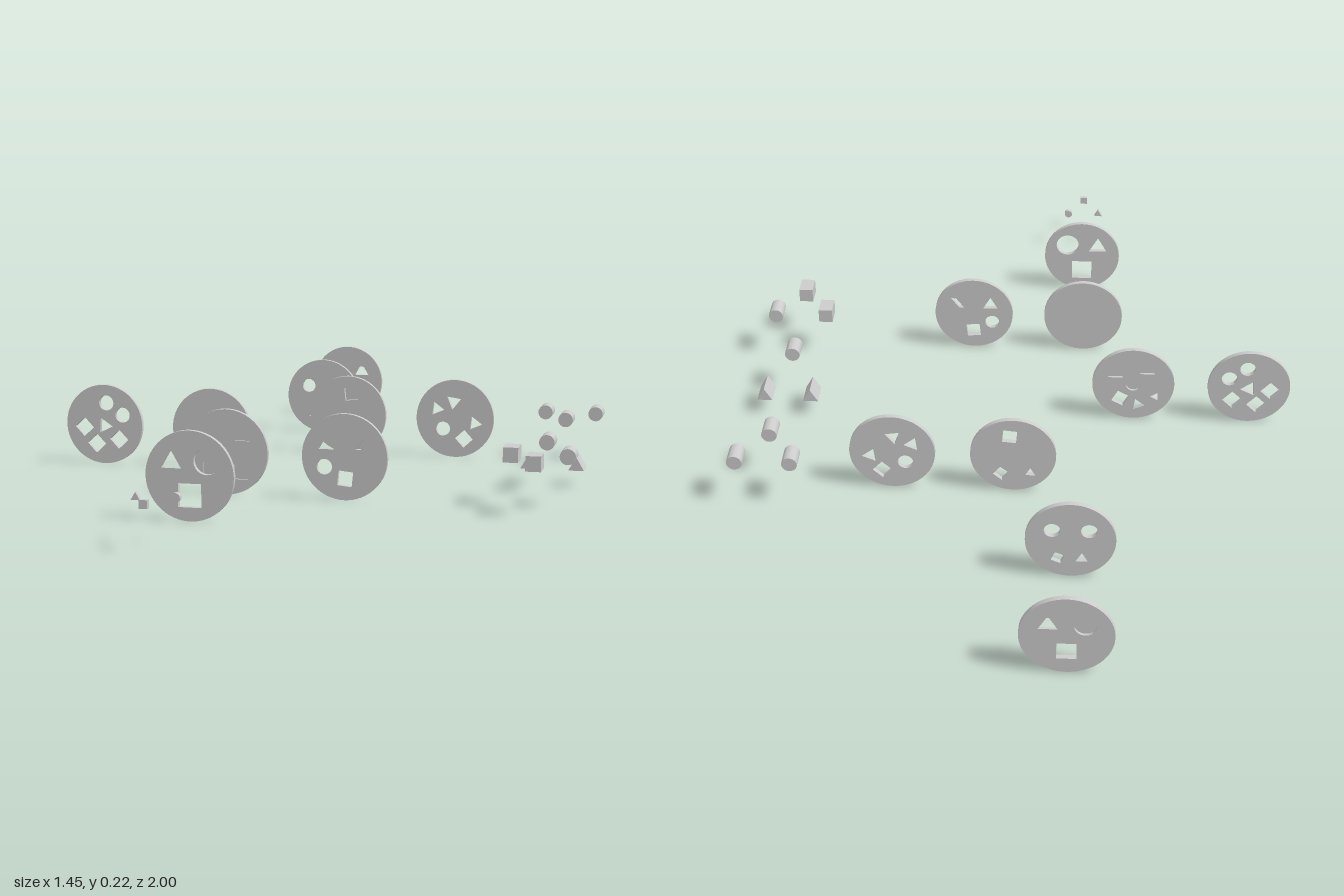
import * as THREE from 'three';
import { toCreasedNormals } from 'three/addons/utils/BufferGeometryUtils.js';

const R = 0.11, THICK = 0.013;
const material = new THREE.MeshStandardMaterial({ color: 0xcccccc });

// Every outline is a regular polygon around (x, y)
const regular = (sides, x, y, r, turn) => new THREE.Path(Array.from({ length: sides }, (_, i) => {
  const a = turn + (i / sides) * Math.PI * 2;
  return new THREE.Vector2(x + r * Math.cos(a), y + r * Math.sin(a));
}));
const circle = (x = 0, y = 0, size = 0.04) => regular(24, x, y, size / 2, 0);
const square = (x = 0, y = 0, size = 0.038, turn = 0) => regular(4, x, y, size * Math.SQRT1_2, turn + Math.PI / 4);
const triangle = (x = 0, y = 0, size = 0.041, turn = 0) => regular(3, x, y, size * 0.577, turn + Math.PI / 2);

// Narrow four-sided slot, slanted
const slot = (x, y) => new THREE.Path([[-1, -1], [0.5, -1], [1, 1], [-0.5, 1]].map(
  ([u, v]) => new THREE.Vector2(x + 0.009 * u + 0.009 * v, y + 0.015 * v)));

// Places copies of one shape at angles (degrees) around a disc centre
const ring = (shape, radius, angles, size, turn) => angles.map((deg) => {
  const a = THREE.MathUtils.degToRad(deg);
  return shape(radius * Math.cos(a), radius * Math.sin(a), size, turn);
});

function extrude(outline, depth, holes = []) {
  const shape = new THREE.Shape(outline.getPoints());
  shape.holes.push(...holes);
  return toCreasedNormals(new THREE.ExtrudeGeometry(shape, { depth, bevelEnabled: false }), 0.5);
}

function addMesh(parent, name, geometry, x, y, z) {
  const mesh = new THREE.Mesh(geometry, material);
  mesh.name = name;
  mesh.position.set(x, y, z);
  parent.add(mesh);
}

// Standing disc of two layers: holes cut both, recesses cut only one
function addDisc(parent, name, x, z, { through = [], front = [], back = [] }) {
  const disc = new THREE.Group();
  disc.name = name;
  disc.position.set(x, R, z);
  const rim = regular(64, 0, 0, R, 0);
  addMesh(disc, 'frontLayer', extrude(rim, THICK / 2, [...through, ...front]), 0, 0, 0);
  addMesh(disc, 'backLayer', extrude(rim, THICK / 2, [...through, ...back]), 0, 0, -THICK / 2);
  parent.add(disc);
}

// Loose pegs lying along z
function addPegs(parent, name, outline, length, spots) {
  const geometry = extrude(outline, length).translate(0, 0, -length / 2);
  spots.forEach(([x, y, z]) => addMesh(parent, name, geometry, x, y, z));
}

export function createModel() {
  const model = new THREE.Group();
  model.name = 'shapeSortingSet';

  // Discs, from the front row to the back row
  addDisc(model, 'threeShapeDisc', -0.155, 0.66, { through: [
    ...ring(triangle, 0.057, [145], 0.052),
    ...ring(circle, 0.057, [41], 0.066),
    ...ring(square, 0.047, [270], 0.058),
  ] });
  addDisc(model, 'fiveShapeDisc', -0.165, 0.33, { front: [
    ...ring(triangle, 0.06, [138, 44]),
    ...ring(square, 0.064, [228, 308]),
    circle(),
  ] });
  addDisc(model, 'slotDisc', 0.145, 0.33, { through: [
    ...ring(triangle, 0.056, [147]),
    ...ring(circle, 0.058, [207]),
    ...ring(slot, 0.058, [37]),
    ...ring(square, 0.055, [272], 0.038, -0.1),
  ] });
  addDisc(model, 'sixHoleDisc', -0.617, 0, { through: [
    ...ring(circle, 0.06, [84, 27], 0.042),
    ...ring(square, 0.059, [189, 247, 316], 0.038, 0.75),
    triangle(0, -0.004, 0.042, 0.45),
  ] });
  addDisc(model, 'lowHoleDisc', -0.307, 0, {
    through: [
      ...ring(triangle, 0.071, [212], 0.024, 0.5),
      ...ring(triangle, 0.067, [258], 0.034, -0.4),
      ...ring(square, 0.057, [306], 0.036, 0.5),
    ],
    back: [...ring(triangle, 0.059, [35, 128]), circle()],
  });
  addDisc(model, 'topHoleDisc', 0, -0.33, { through: [
    ...ring(square, 0.06, [82], 0.036, 0.1),
    ...ring(square, 0.066, [298], 0.03, 0.7),
    ...ring(triangle, 0.07, [231], 0.026),
  ] });
  addDisc(model, 'threeTriangleDisc', 0.31, -0.33, { through: [
    ...ring(triangle, 0.058, [153, 348], 0.038, 0.4),
    ...ring(triangle, 0.048, [95], 0.04, 0.9),
    ...ring(circle, 0.045, [222]),
    ...ring(square, 0.063, [295], 0.036, 0.75),
  ] });
  addDisc(model, 'twinCircleDisc', -0.155, -0.66, { through: [
    ...ring(circle, 0.054, [146, 34]),
    ...ring(triangle, 0.062, [243], 0.03),
    ...ring(square, 0.062, [299], 0.026, 0.4),
  ] });
  addDisc(model, 'bigHoleDisc', -0.155, -0.994, {
    through: ring(square, 0.046, [270], 0.046),
    front: ring(circle, 0.047, [25], 0.056),
    back: [...ring(circle, 0.052, [145], 0.052), ...ring(triangle, 0.054, [37], 0.045)],
  });

  // Pegs beside the discs
  addPegs(model, 'roundPeg', circle(), 0.056,
    [[0.56, 0.13, -0.4], [0.7, 0.13, -0.4], [0.63, 0.13, -0.28], [0.625, 0.13, 0.09], [0.7, 0.13, 0.28]]);
  addPegs(model, 'squarePeg', square(), 0.056, [[0.56, 0.13, 0.287], [0.63, 0.13, 0.392]]);
  addPegs(model, 'triangularPeg', triangle(), 0.066, [[0.567, 0.056, 0], [0.692, 0.056, 0]]);

  // Tiny loose shapes in front
  addPegs(model, 'smallTriangle', triangle(0, 0, 0.022), 0.012, [[-0.2, 0.108, 0.915]]);
  addPegs(model, 'smallRound', circle(0, 0, 0.022), 0.012, [[-0.108, 0.11, 0.908]]);
  addPegs(model, 'smallSquare', square(0, 0, 0.02), 0.012, [[-0.154, 0.11, 0.994]]);

  return model;
}
